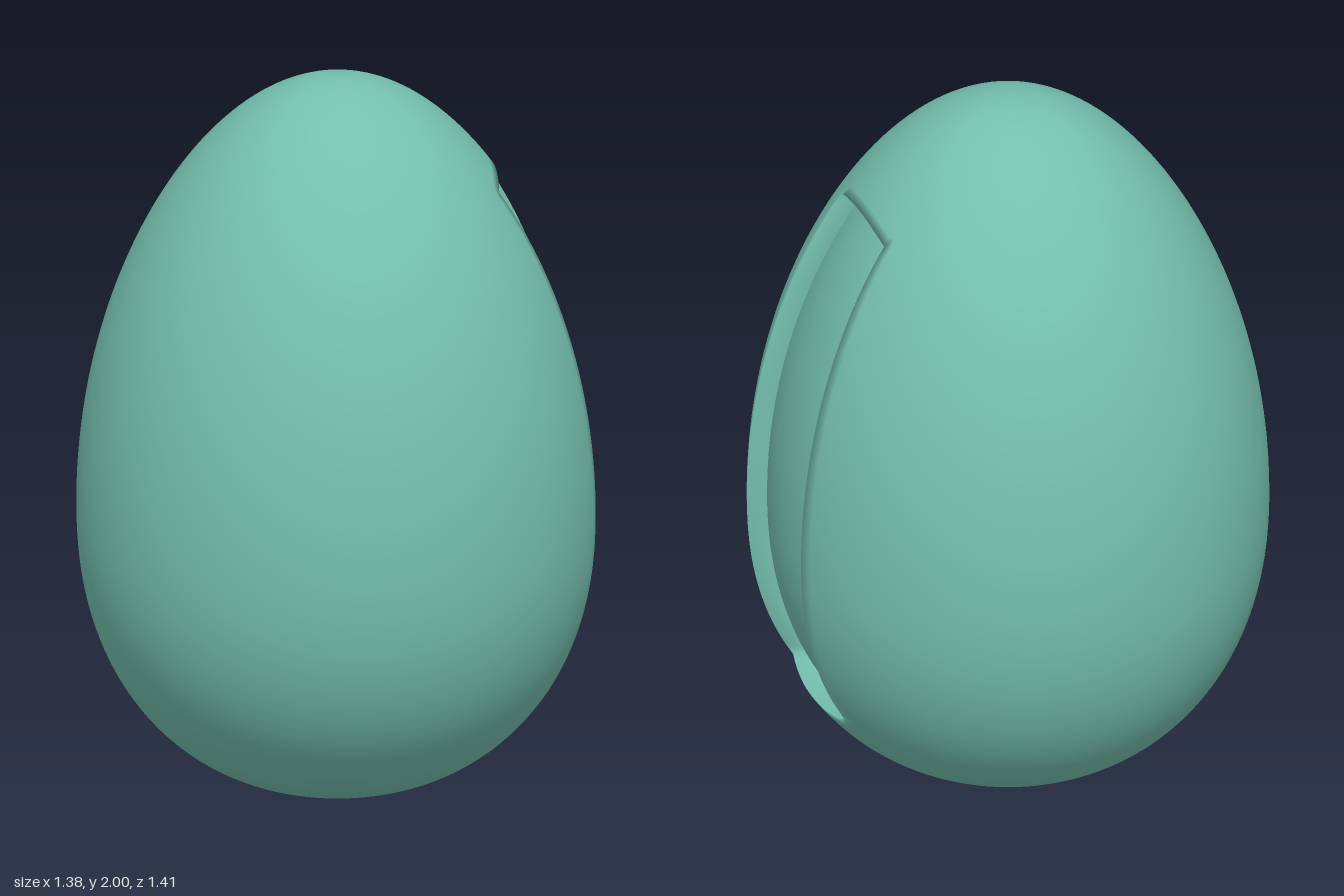
import * as THREE from 'three';

const CENTRE_X = 0.013, WIDEST = 0.8, RADIUS = 0.705, DEPTH = 0.055;
const IN = 14, OUT = 110, COLS = IN + OUT;       // columns across the recess / around the rest
const LOW = 22, MID = 54, HIGH = 24;             // rows below / beside / above the recess
const ROWS = LOW + MID + HIGH;

// Egg radius at height y: fuller below, more pointed above
function eggRadius(y) {
  if (y < WIDEST) {
    const t = (WIDEST - y) / WIDEST;
    return RADIUS * Math.pow(Math.max(0, 1 - t ** 2.22), 1 / 2.22);
  }
  const t = (y - WIDEST) / (2 - WIDEST);
  return RADIUS * Math.sqrt(Math.max(0, 1 - t * t)) * (1 - 0.07 * t * t);
}

// Half the angle the recess spans; it narrows towards the top
function halfAngle(y) {
  const h = THREE.MathUtils.clamp(y, 0.3, 1.7);
  const t = (h - 0.8) / 0.9;
  const halfWidth = 0.212 - (t > 0 ? 0.047 : 0.018) * t * t;
  return Math.asin(halfWidth / eggRadius(h));
}

// Surface point on a grid whose lines follow the recess outline
function eggPoint(row, col) {
  const s = col <= IN ? (2 * col) / IN - 1 : 1;
  const bottom = 0.275 + 0.025 * s * s, top = 1.73 - 0.03 * s * s;
  let y;
  if (row <= LOW) y = bottom * (row / LOW) ** 2;
  else if (row <= LOW + MID) y = bottom + (top - bottom) * (row - LOW) / MID;
  else y = 2 - (2 - top) * ((ROWS - row) / HIGH) ** 2;
  const a = halfAngle(y), r = eggRadius(y);
  const angle = col <= IN ? a * s : a + (2 * Math.PI - 2 * a) * (col - IN) / OUT;
  return new THREE.Vector3(CENTRE_X + r * Math.cos(angle), y, r * Math.sin(angle));
}

// The same point pushed straight in along x onto the recess floor
function floorPoint(row, col) {
  const p = eggPoint(row, col);
  const slope = (eggRadius(p.y + 0.005) - eggRadius(p.y - 0.005)) / 0.01;
  const r = eggRadius(p.y) - DEPTH * Math.hypot(1, slope);
  p.x = CENTRE_X + Math.sqrt(r * r - p.z * p.z);
  return p;
}

function makeMesh(name, points, index, material) {
  const geometry = new THREE.BufferGeometry().setFromPoints(points);
  geometry.setIndex(index);
  geometry.computeVertexNormals();
  const mesh = new THREE.Mesh(geometry, material);
  mesh.name = name;
  return mesh;
}

export function createModel() {
  const group = new THREE.Group();
  group.name = 'egg';
  const material = new THREE.MeshStandardMaterial({ color: 0x74bfae });

  // Egg shell with the recess left open
  const points = [], index = [];
  const id = (row, col) => row * COLS + (col % COLS);
  for (let i = 0; i <= ROWS; i++)
    for (let j = 0; j < COLS; j++) points.push(eggPoint(i, j));
  for (let i = 0; i < ROWS; i++)
    for (let j = 0; j < COLS; j++) {
      if (j < IN && i >= LOW && i < LOW + MID) continue;
      const a = id(i, j), b = id(i, j + 1), c = id(i + 1, j), d = id(i + 1, j + 1);
      index.push(a, c, b, b, c, d);
    }

  // Recess walls, sharing the rim so the shell softens into them
  const rim = [];
  for (let j = 0; j < IN; j++) rim.push([LOW, j]);
  for (let i = 0; i < MID; i++) rim.push([LOW + i, IN]);
  for (let j = IN; j > 0; j--) rim.push([LOW + MID, j]);
  for (let i = MID; i > 0; i--) rim.push([LOW + i, 0]);
  const inner = points.length;
  rim.forEach(([i, j]) => points.push(floorPoint(i, j)));
  rim.forEach(([i, j], k) => {
    const next = (k + 1) % rim.length;
    const a = id(i, j), b = id(...rim[next]);
    index.push(a, inner + k, b, b, inner + k, inner + next);
  });
  group.add(makeMesh('shell', points, index, material));

  // Recess floor
  const floor = [], floorIndex = [], w = IN + 1;
  for (let i = 0; i <= MID; i++)
    for (let j = 0; j <= IN; j++) floor.push(floorPoint(LOW + i, j));
  for (let i = 0; i < MID; i++)
    for (let j = 0; j < IN; j++) {
      const a = i * w + j;
      floorIndex.push(a, a + w, a + 1, a + 1, a + w, a + w + 1);
    }
  group.add(makeMesh('recessFloor', floor, floorIndex, material));
  return group;
}
